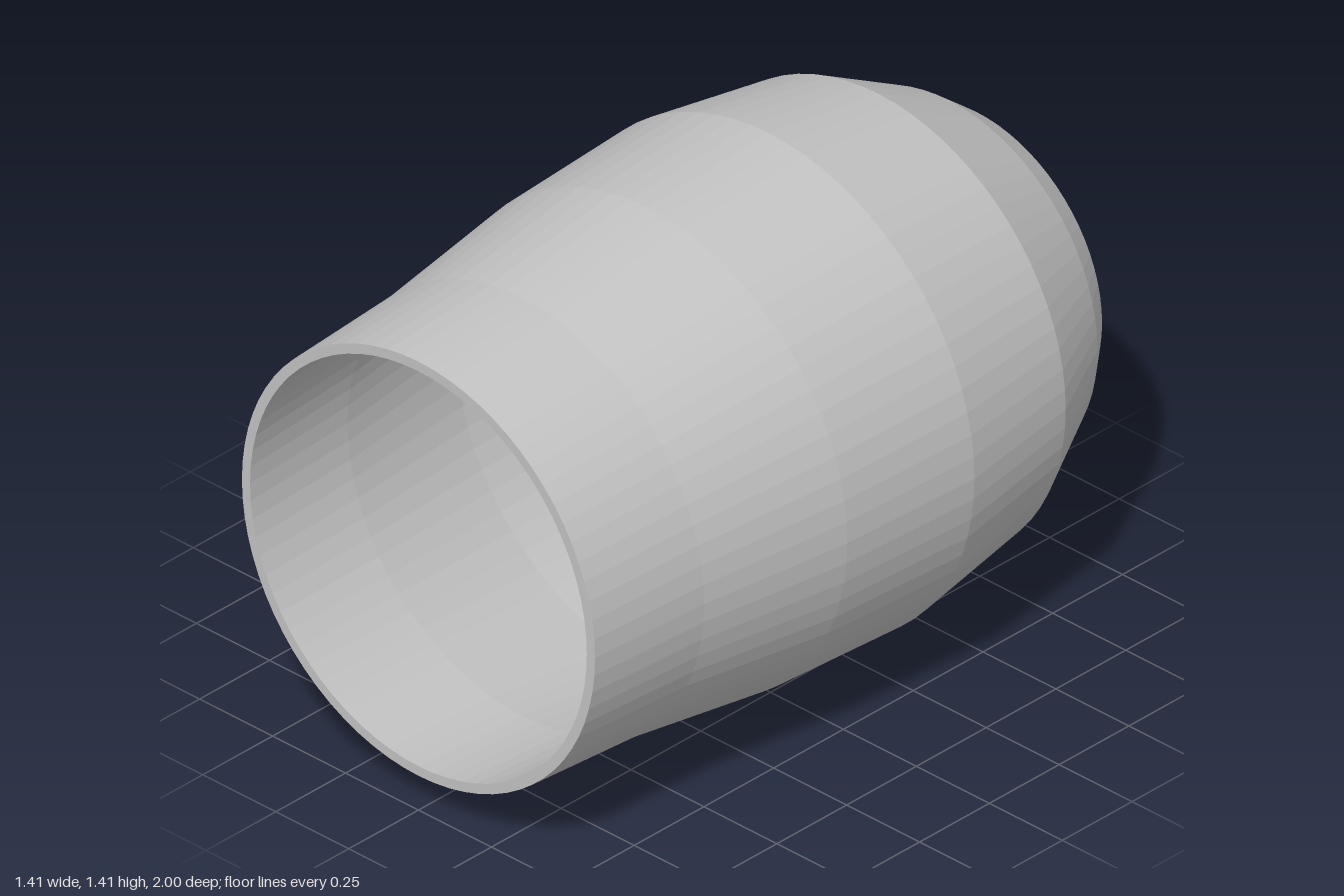
import * as THREE from 'three';

const SEGMENTS = 72;
const AXIS_HEIGHT = 0.705;

export function createModel() {
  const group = new THREE.Group();
  group.name = 'barrelSleeve';

  const grey = new THREE.MeshStandardMaterial({ color: 0xc2c2c2, flatShading: true });
  grey.name = 'plain grey';

  // Profiles as [radius, position along z]
  const outer = [
    [0.43, -1], [0.51, -0.9], [0.645, -0.645], [0.705, -0.255],
    [0.685, 0.18], [0.625, 0.63], [0.605, 1],
  ];
  const inner = [
    [0.577, 1], [0.597, 0.63], [0.655, 0.18], [0.673, -0.25],
    [0.607, -0.615], [0.475, -0.855], [0.4, -0.92],
  ];

  // Turns a profile about the z axis
  const addTurned = (name, profile) => {
    const points = profile.map(([r, z]) => new THREE.Vector2(r, z));
    const geometry = new THREE.LatheGeometry(points, SEGMENTS);
    geometry.rotateX(Math.PI / 2);
    const mesh = new THREE.Mesh(geometry, grey);
    mesh.name = name;
    mesh.position.y = AXIS_HEIGHT;
    group.add(mesh);
  };

  addTurned('outerWall', outer);
  addTurned('frontRim', [outer[outer.length - 1], inner[0]]);
  addTurned('innerWall', inner);
  addTurned('backBevel', [inner[inner.length - 1], outer[0]]);

  return group;
}
